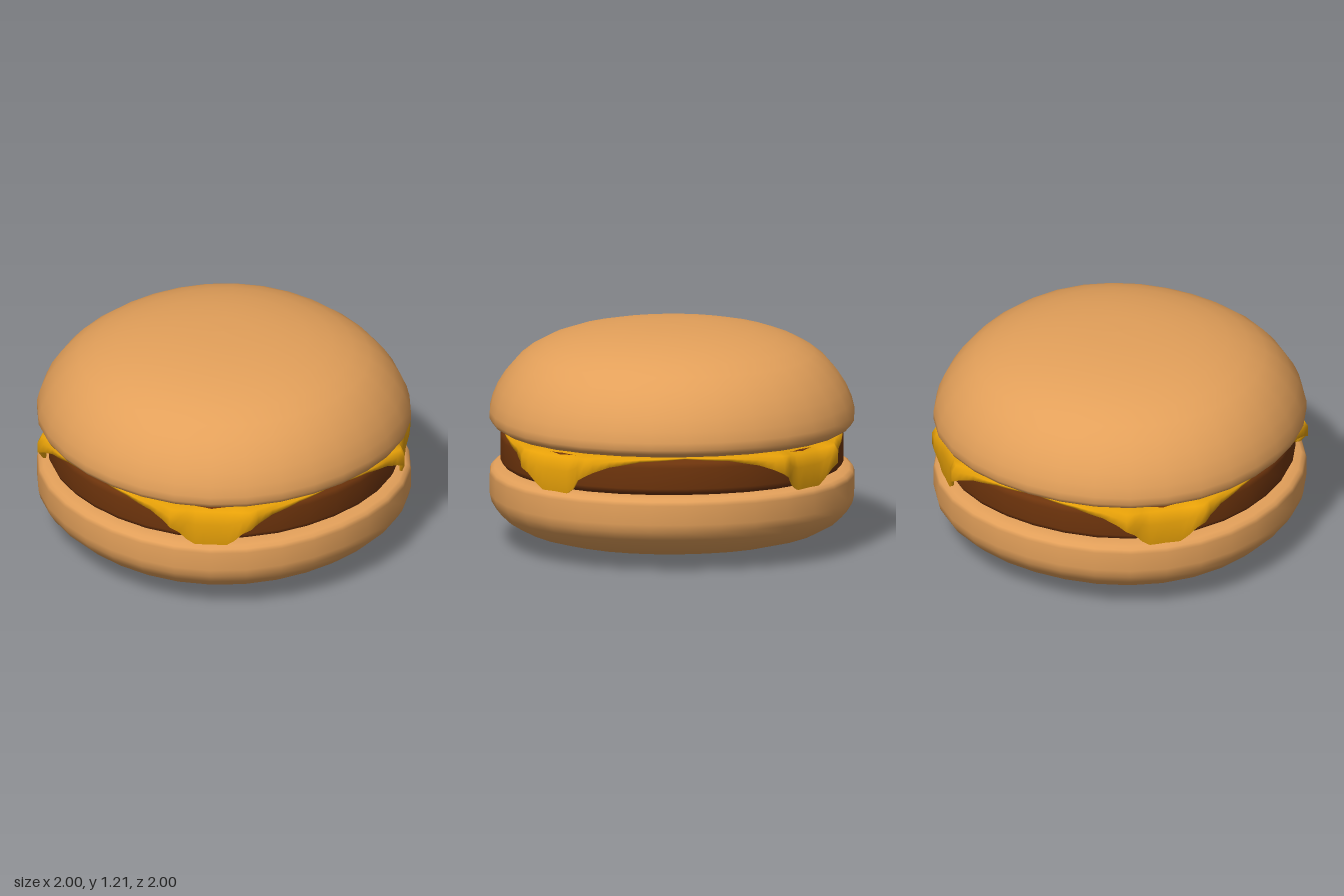
import * as THREE from 'three';

const SIDES = 32;

// Piecewise-linear lookup in rows of [input, output a, output b]
function lookup(rows, x, col) {
  for (let i = 1; i < rows.length; i++) {
    if (x <= rows[i][0]) {
      const a = rows[i - 1], b = rows[i];
      return a[col] + (b[col] - a[col]) * (x - a[0]) / (b[0] - a[0]);
    }
  }
  return rows[rows.length - 1][col];
}

// Round solid from a bottom-to-top profile, slightly fuller on its diagonals
function turned(name, profile, material) {
  const points = profile.map(([x, y]) => new THREE.Vector2(x, y));
  const geometry = new THREE.LatheGeometry(points, SIDES);
  const position = geometry.attributes.position;
  for (let i = 0; i < position.count; i++) {
    const x = position.getX(i), z = position.getZ(i);
    const swell = 1 + 0.026 * Math.sin(2 * Math.atan2(x, z)) ** 2;
    position.setX(i, x * swell);
    position.setZ(i, z * swell);
  }
  const mesh = new THREE.Mesh(geometry, material);
  mesh.name = name;
  return mesh;
}

// Rim of the cheese: degrees from the nearest corner, hem height, hem radius
const HEM = [
  [0, 0.42, 0.985], [6.5, 0.42, 0.99], [8, 0.465, 1.0], [10, 0.505, 1.02],
  [12.5, 0.53, 1.03], [15, 0.553, 1.005], [20, 0.585, 0.975],
  [30, 0.618, 0.948], [45, 0.632, 0.915],
];

// Draped slice: one closed cross-section per angle, joined around the middle
function cheeseGeometry() {
  const steps = 144, thick = 0.016, positions = [], index = [];
  let count = 0;
  for (let i = 0; i < steps; i++) {
    const angle = (i / steps) * Math.PI * 2;
    const fromCorner = Math.abs(((i * 360 / steps) % 90) - 45);
    const hemY = lookup(HEM, fromCorner, 1), hemR = lookup(HEM, fromCorner, 2);
    const drop = 0.642 - hemY;
    const section = [
      [0.5, 0.645], [0.86, 0.645],
      [hemR - 0.022, 0.642 - drop * 0.13],
      [hemR, 0.642 - drop * 0.45],
      [hemR, hemY],
      [hemR - thick, hemY],
      [hemR - thick, 0.636 - drop * 0.45],
      [hemR - 0.038, 0.632 - drop * 0.16],
      [0.84, 0.63], [0.5, 0.63],
    ];
    count = section.length;
    for (const [r, y] of section) positions.push(r * Math.sin(angle), y, r * Math.cos(angle));
  }
  for (let i = 0; i < steps; i++) {
    const a = i * count, b = ((i + 1) % steps) * count;
    for (let j = 0; j < count; j++) {
      const k = (j + 1) % count;
      index.push(a + j, a + k, b + j, b + j, a + k, b + k);
    }
  }
  const geometry = new THREE.BufferGeometry();
  geometry.setAttribute('position', new THREE.Float32BufferAttribute(positions, 3));
  geometry.setIndex(index);
  geometry.computeVertexNormals();
  return geometry;
}

export function createModel() {
  const bun = new THREE.MeshStandardMaterial({ color: 0xe3a05a });
  const meat = new THREE.MeshStandardMaterial({ color: 0x6e340c });
  const cheddar = new THREE.MeshStandardMaterial({ color: 0xe6a008 });
  bun.name = 'toasted bun';
  meat.name = 'grilled meat';
  cheddar.name = 'yellow cheese';

  const group = new THREE.Group();
  group.name = 'cheeseburger';

  // Bottom bun with a rounded underside
  group.add(turned('bottomBun', [
    [0, 0], [0.3, 0.012], [0.5, 0.03], [0.69, 0.058], [0.825, 0.095], [0.91, 0.14],
    [0.963, 0.19], [0.99, 0.235], [1, 0.28], [1, 0.385], [0.992, 0.407],
    [0.972, 0.42], [0.93, 0.428], [0.88, 0.43], [0, 0.43],
  ], bun));

  // Meat patty
  group.add(turned('patty', [
    [0, 0.425], [0.86, 0.425], [0.9, 0.43], [0.93, 0.445], [0.942, 0.47],
    [0.942, 0.585], [0.932, 0.61], [0.91, 0.625], [0.87, 0.63], [0, 0.63],
  ], meat));

  // Cheese slice with four drooping corners
  const cheese = new THREE.Mesh(cheeseGeometry(), cheddar);
  cheese.name = 'cheeseSlice';
  group.add(cheese);

  // Domed top bun
  group.add(turned('topBun', [
    [0, 0.64], [0.86, 0.64], [0.91, 0.642], [0.955, 0.652], [0.985, 0.67], [1, 0.695],
    [1, 0.735], [0.985, 0.795], [0.955, 0.865], [0.91, 0.935], [0.85, 1.005],
    [0.78, 1.06], [0.69, 1.108], [0.58, 1.147], [0.45, 1.177], [0.3, 1.198],
    [0.15, 1.208], [0, 1.21],
  ], bun));

  return group;
}
